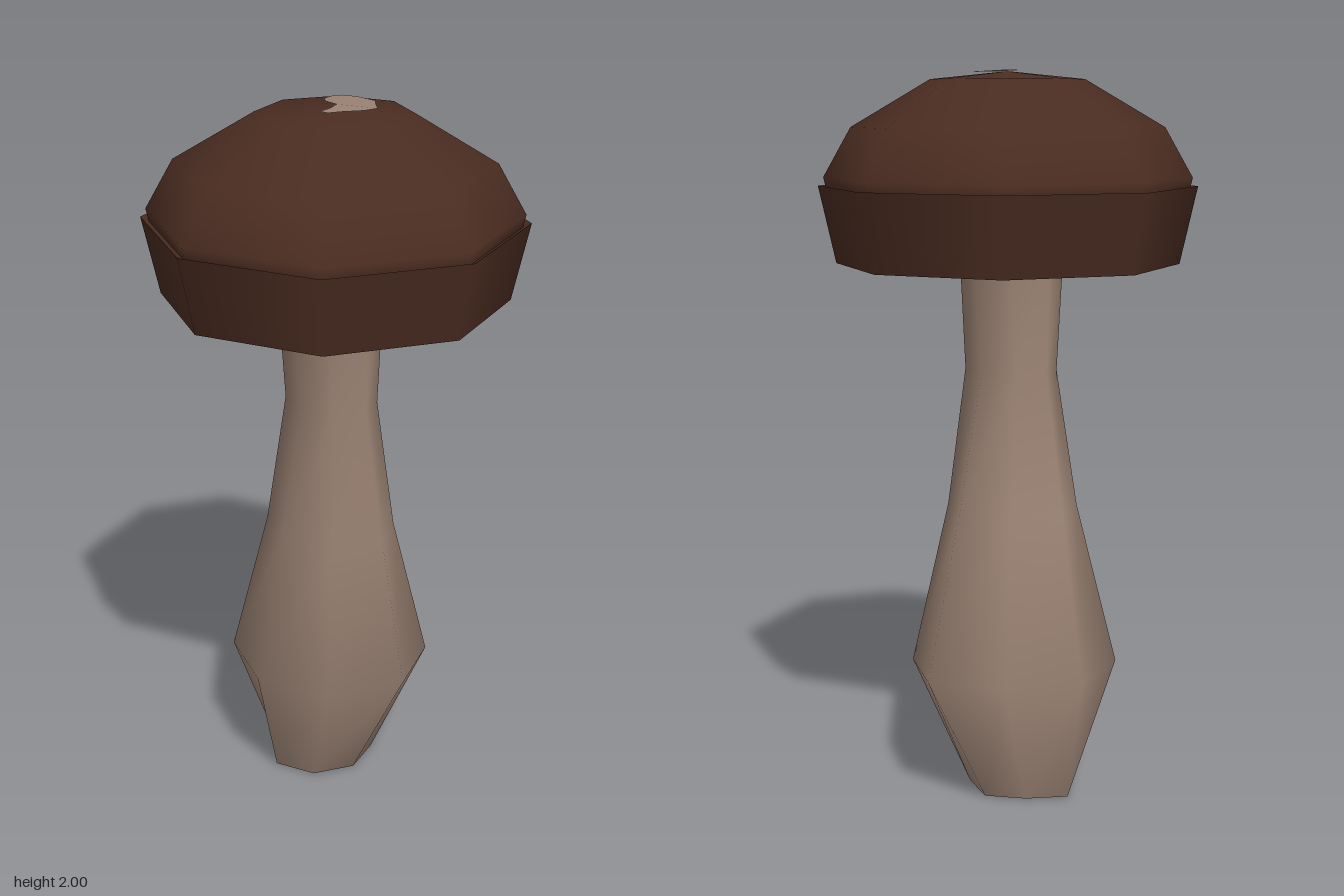
import * as THREE from 'three';

const SIDES = 8;

// Skin of octagonal rings [y, centreX, centreZ, radiusX, radiusZ, diagonals];
// diagonals scale the four corner points: front left, back left, back right, front right
function ringSkin(rings) {
  const pos = [], index = [];
  for (const [y, cx, cz, rx, rz, diagonals = [1, 1, 1, 1]] of rings) {
    for (let j = 0; j < SIDES; j++) {
      const a = (j / SIDES) * Math.PI * 2;
      const s = j % 2 ? diagonals[(j - 1) / 2] : 1;
      pos.push(cx + s * rx * Math.sin(a), y, cz + s * rz * Math.cos(a));
    }
  }
  for (let i = 0; i < rings.length - 1; i++) {
    for (let j = 0; j < SIDES; j++) {
      const k = (j + 1) % SIDES;
      const a = i * SIDES + j, b = i * SIDES + k;
      index.push(a, b, b + SIDES, a, b + SIDES, a + SIDES);
    }
  }
  const geo = new THREE.BufferGeometry();
  geo.setAttribute('position', new THREE.Float32BufferAttribute(pos, 3));
  geo.setIndex(index);
  geo.computeVertexNormals();
  return geo;
}

const lathe = (pts) => new THREE.LatheGeometry(pts.map(([r, y]) => new THREE.Vector2(r, y)), SIDES);

export function createModel() {
  const group = new THREE.Group();
  const brown = new THREE.MeshStandardMaterial({ color: 0x4a2c21 });
  const beige = new THREE.MeshStandardMaterial({ color: 0x9a8273 });
  const green = new THREE.MeshStandardMaterial({ color: 0xa8b768 });
  brown.name = 'cap brown';
  beige.name = 'stem beige';
  green.name = 'gill green';

  const add = (name, geo, mat) => {
    const mesh = new THREE.Mesh(geo, mat);
    mesh.name = name;
    group.add(mesh);
    return mesh;
  };

  // Bulbous, slightly leaning and uneven stem
  const foot = [0.003, 0.018, -0.1, 0.163, 0.163, [1, 0.82, 0.74, 1]];
  add('stem', ringSkin([
    foot,
    [0.36, 0.048, -0.052, 0.298, 0.293, [0.91, 0.91, 1.03, 1.04]],
    [0.8, 0.005, -0.015, 0.19, 0.21, [0.87, 0.86, 0.94, 1.15]],
    [1.18, -0.013, 0, 0.113, 0.142],
    [1.53, -0.025, 0.01, 0.143, 0.147],
  ]), beige);

  // Flat underside of the stem and the dark strip on it
  add('stemBase', ringSkin([[0.003, 0.018, -0.1, 0, 0], foot]), beige);
  const strip = add('baseStrip', new THREE.BoxGeometry(0.22, 0.003, 0.05), brown);
  strip.rotation.y = -Math.PI / 4;
  strip.position.set(0.07, 0.0015, -0.152);

  // Cap: skirt, narrow sunken lip and dome
  add('capSkirt', lathe([[0.473, 1.475], [0.52, 1.687]]), brown);
  add('capLip', lathe([[0.52, 1.687], [0.497, 1.675]]), brown);
  add('capDome', lathe([[0.497, 1.675], [0.505, 1.71], [0.428, 1.845], [0.21, 1.973], [0, 1.994]]), brown);

  // Hollow underside and the flared collar around the stem
  add('gills', lathe([[0.18, 1.68], [0.36, 1.63], [0.473, 1.475]]), green);
  add('collar', ringSkin([
    [1.52, -0.025, 0.01, 0.146, 0.15],
    [1.69, -0.005, 0, 0.19, 0.19],
  ]), green);

  // Pale irregular patch lying on the crown
  const outline = [
    [-0.085, 0.038], [-0.045, 0.034], [-0.01, 0.018], [-0.005, -0.03], [0.025, -0.07], [0.065, -0.087], [0.1, -0.082],
    [0.114, -0.04], [0.114, 0.03], [0.08, 0.07], [0.055, 0.105], [0.01, 0.105], [-0.045, 0.08], [-0.08, 0.065],
  ];
  const patch = new THREE.ShapeGeometry(new THREE.Shape(outline.map(([x, z]) => new THREE.Vector2(x, -z))));
  patch.rotateX(-Math.PI / 2);
  const p = patch.attributes.position;
  for (let i = 0; i < p.count; i++) p.setY(i, 2 - 0.06 * Math.hypot(p.getX(i), p.getZ(i)));
  patch.computeVertexNormals();
  add('crownPatch', patch, beige);

  return group;
}
